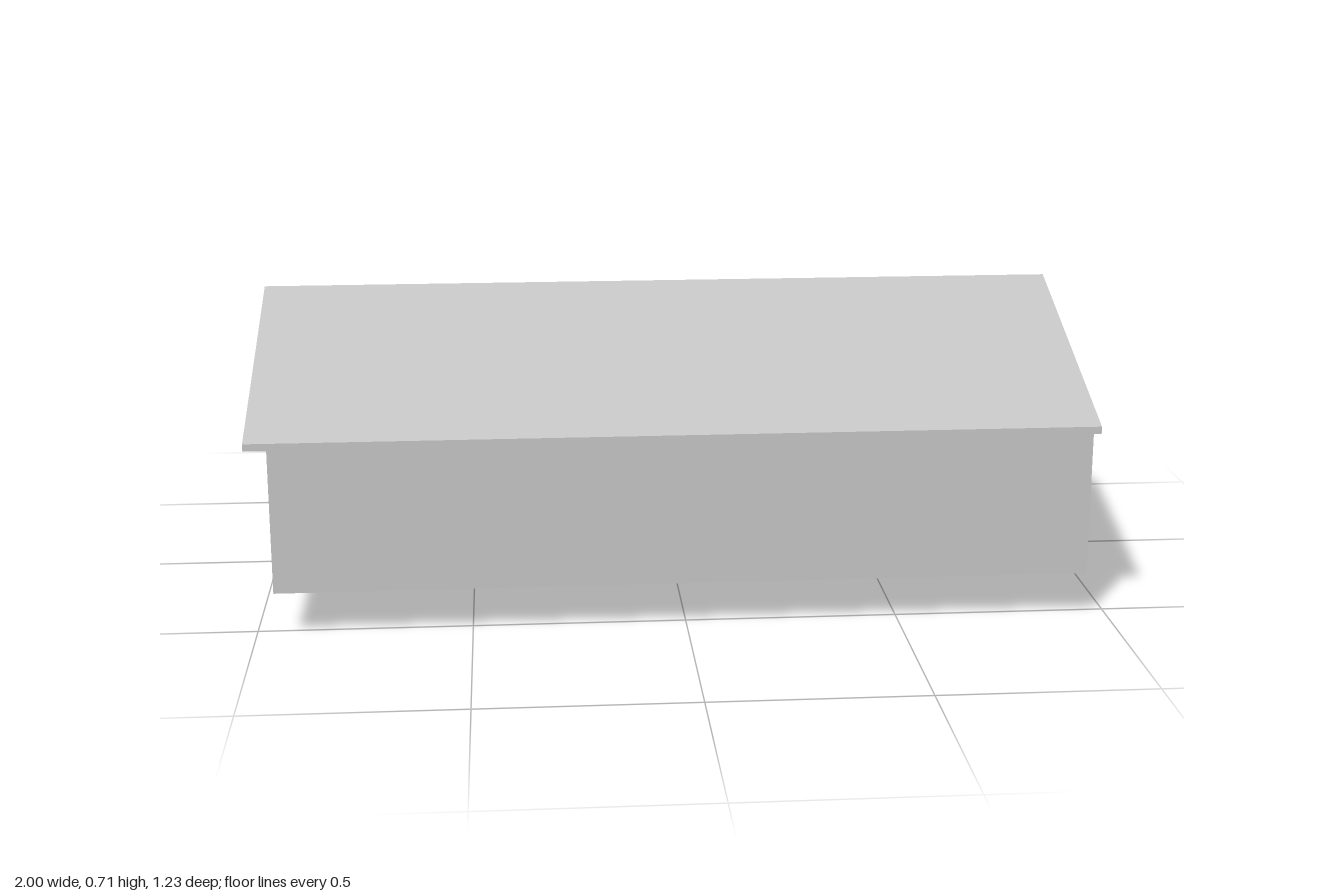
import * as THREE from 'three';

const FLOOR = 0.11, LINTEL = 0.4, EAVE = 0.494, PEAK = 0.698, RECESS = 0.015;

export function createModel() {
  const group = new THREE.Group();
  const grey = new THREE.MeshStandardMaterial({ color: 0xc4c4c4 });
  grey.name = 'light grey';

  const add = (name, geometry) => {
    const mesh = new THREE.Mesh(geometry, grey);
    mesh.name = name;
    group.add(mesh);
    return mesh;
  };
  const outline = (pts) => new THREE.Shape(pts.map(([a, b]) => new THREE.Vector2(a, b)));
  const rect = (a0, b0, a1, b1) => outline([[a0, b0], [a1, b0], [a1, b1], [a0, b1]]);
  const cut = (shape, openings) => {
    openings.forEach((o) => shape.holes.push(rect(...o)));
    return shape;
  };
  const extrude = (shape, depth) =>
    new THREE.ExtrudeGeometry(shape, { depth, bevelEnabled: false, curveSegments: 10 });
  // Profile drawn in (-z, y), swept from x0 to x1
  const alongX = (name, shape, x0, x1) =>
    add(name, extrude(shape, x1 - x0).rotateY(Math.PI / 2).translate(x0, 0, 0));
  // Profile drawn in (x, y), swept from z0 to z1
  const alongZ = (name, shape, z0, z1) =>
    add(name, extrude(shape, z1 - z0).translate(0, 0, z0));
  const box = (name, x0, x1, y0, y1, z0, z1) =>
    add(name, new THREE.BoxGeometry(x1 - x0, y1 - y0, z1 - z0)
      .translate((x0 + x1) / 2, (y0 + y1) / 2, (z0 + z1) / 2));

  // Solid building core, set back behind the walls that have openings
  const back = 0.55 - RECESS;
  alongX('mainHall', outline([[-0.55, FLOOR], [back, FLOOR], [back, EAVE], [0, PEAK], [-0.55, EAVE]]),
    -0.54 + RECESS, 0.945 - RECESS);
  alongX('porchEnd', outline([[-0.55, FLOOR], [-RECESS, FLOOR], [-RECESS, LINTEL], [0.55, LINTEL],
    [0.55, EAVE], [0, PEAK], [-0.55, EAVE]]), -0.955, -0.54 + RECESS);

  // Gable wall with three wide door openings
  const gable = outline([[-0.55, FLOOR], [0.55, FLOOR], [0.55, EAVE], [0, PEAK], [-0.55, EAVE]]);
  alongX('garageWall', cut(gable, [[-0.455, -0.215], [-0.18, 0.06], [0.095, 0.32]]
    .map(([a, b]) => [a, FLOOR + 0.003, b, 0.36])), 0.945 - RECESS, 0.945);

  // Back wall with a small door
  alongZ('backWall', cut(rect(-0.54, FLOOR, 0.945, EAVE), [[0.82, FLOOR + 0.003, 0.9, 0.24]]),
    -0.55, -back);

  // Porch walls with windows and a pair of doors
  alongX('entranceWall', cut(rect(-RECESS, FLOOR, 0.55, LINTEL), [
    [0.03, 0.13, 0.165, 0.37],
    [0.19, FLOOR + 0.003, 0.27, 0.37],
    [0.28, FLOOR + 0.003, 0.36, 0.37],
    [0.385, 0.13, 0.52, 0.37],
  ]), -0.54, -0.54 + RECESS);
  alongZ('porchWindowWall', cut(rect(-0.955, FLOOR, -0.54, LINTEL), [
    [-0.9, 0.13, -0.76, 0.37],
    [-0.73, 0.13, -0.59, 0.37],
  ]), 0, RECESS);

  // Porch column
  box('porchColumn', -0.94, -0.86, 0, LINTEL, -0.535, -0.435);

  // Roof with overhanging eaves
  alongX('roof', outline([[-0.615, 0.47], [0, PEAK], [0.615, 0.47], [0.615, 0.487], [0, 0.715], [-0.615, 0.487]]),
    -1, 0.945);

  // Long rounded panel with a raised rim
  const stadium = (r) => {
    const s = new THREE.Shape();
    s.absarc(0.18, 0.495, r, -Math.PI / 2, Math.PI / 2);
    s.absarc(-0.225, 0.495, r, Math.PI / 2, Math.PI * 1.5);
    s.closePath();
    return s;
  };
  const rim = stadium(0.04);
  rim.holes.push(stadium(0.03));
  alongX('gablePanelRim', rim, -0.969, -0.955);
  alongX('gablePanel', stadium(0.03), -0.96, -0.955);

  // Twin wall-mounted units with arms and a link
  for (const [z0, z1] of [[-0.255, -0.2], [-0.32, -0.265]]) {
    const mid = (z0 + z1) / 2;
    box('wallUnit', 0.957, 1, 0.475, 0.565, z0, z1);
    box('unitArm', 0.94, 0.96, 0.503, 0.537, mid - 0.015, mid + 0.015);
  }
  box('unitLink', 0.97, 0.985, 0.505, 0.535, -0.268, -0.252);

  return group;
}
